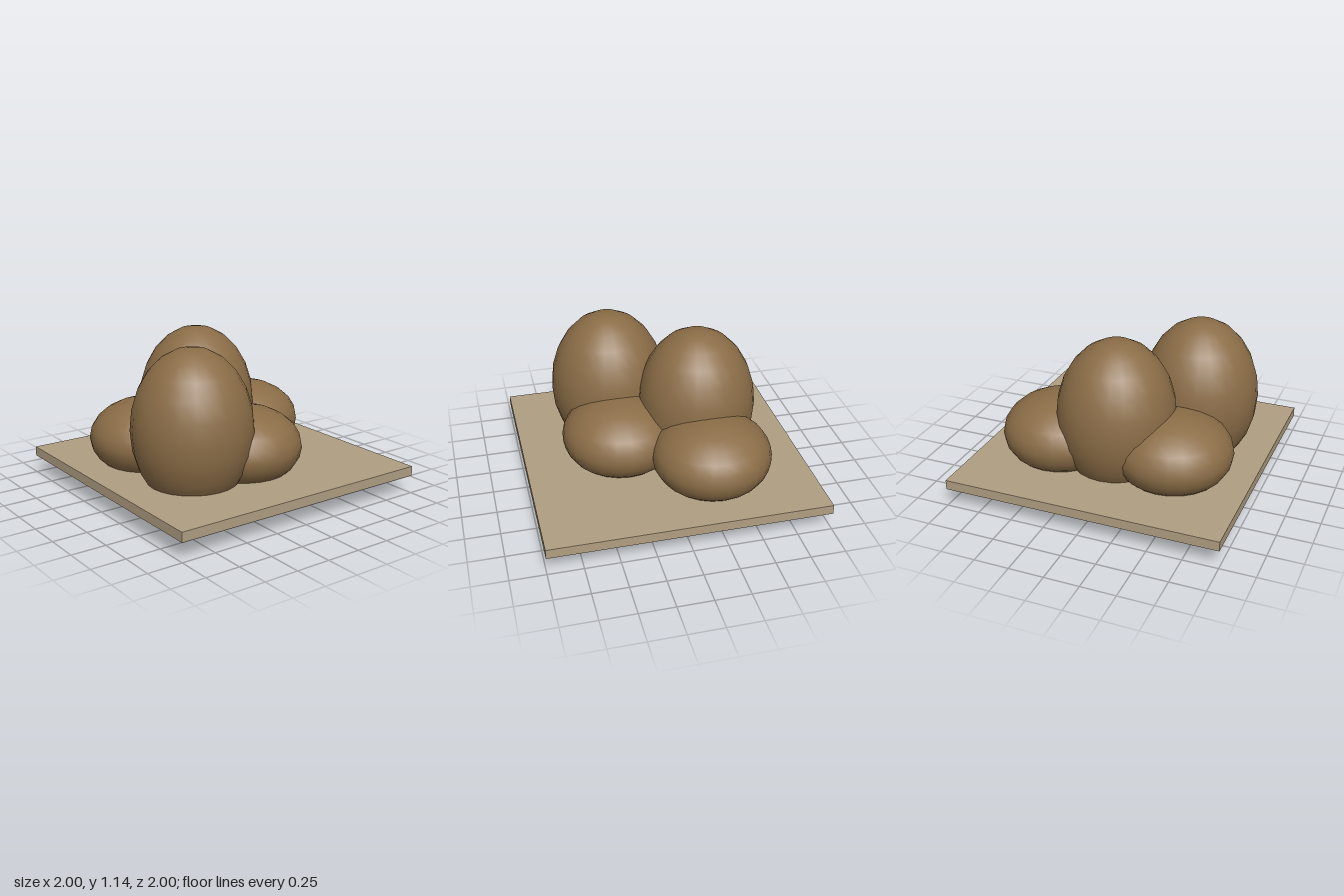
import * as THREE from 'three';

export function createModel() {
  const group = new THREE.Group();
  const brown = new THREE.MeshStandardMaterial({ color: 0x8b6d47 });
  brown.name = 'warm brown';
  const tan = new THREE.MeshStandardMaterial({ color: 0xaf9e81 });
  tan.name = 'pale tan';

  // Thin square board the mounds are sunk through
  const board = new THREE.Mesh(new THREE.BoxGeometry(2, 0.07, 2), tan);
  board.name = 'board';
  board.position.y = 0.168;
  group.add(board);

  // Ellipsoid mounds: name, x, y, z, half height
  const R = 0.4286;
  const Z = 0.2857;
  const mounds = [
    ['tallMoundFront', -R, 0.5714, Z, 0.5714],
    ['tallMoundBack', 0, 0.5714, -Z, 0.5714],
    ['lowMoundFront', 0, 0.375, Z, 0.2857],
    ['lowMoundBackRight', -R, 0.375, -Z, 0.2857],
    ['lowMoundBackLeft', R, 0.375, -Z, 0.2857],
  ];
  const ball = new THREE.SphereGeometry(1, 24, 12);
  for (const [name, x, y, z, h] of mounds) {
    const mound = new THREE.Mesh(ball, brown);
    mound.name = name;
    mound.position.set(x, y, z);
    mound.scale.set(R, h, R);
    group.add(mound);
  }
  return group;
}
